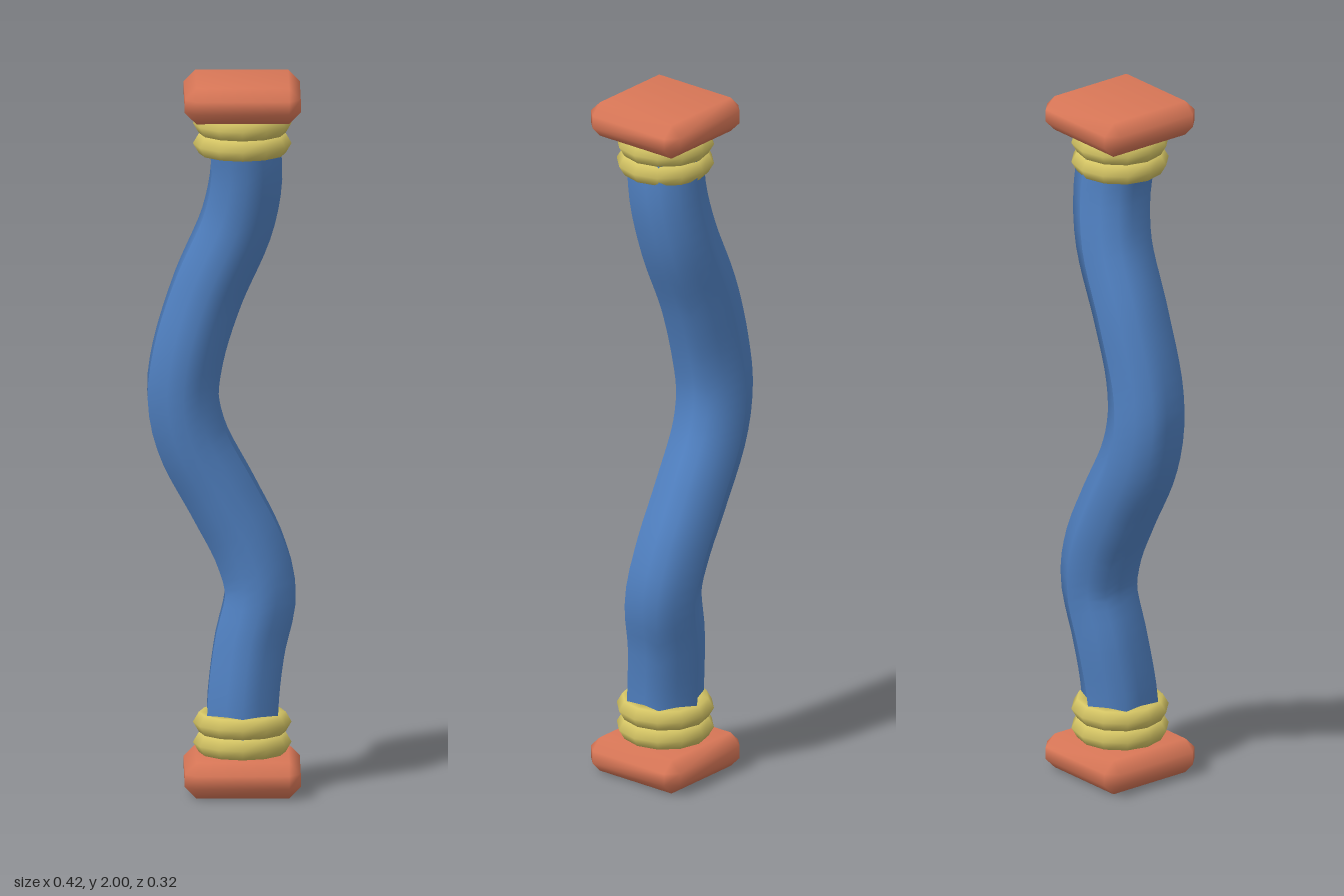
import * as THREE from 'three';
import { mergeVertices } from 'three/addons/utils/BufferGeometryUtils.js';
import { ConvexGeometry } from 'three/addons/geometries/ConvexGeometry.js';

const AXIS_X = 0.05; // the slabs and rings sit a little to the left

function material(name, color) {
  const m = new THREE.MeshStandardMaterial({ color });
  m.name = name;
  return m;
}

// Box with every edge cut back by c, shaded smoothly
function chamferedBox(w, h, d, c) {
  const pts = [];
  for (const sx of [-1, 1]) for (const sy of [-1, 1]) for (const sz of [-1, 1]) {
    for (const full of [0, 1, 2]) {
      const size = [w, h, d].map((s, i) => s / 2 - (i === full ? 0 : c));
      pts.push(new THREE.Vector3(sx * size[0], sy * size[1], sz * size[2]));
    }
  }
  const raw = new ConvexGeometry(pts);
  raw.deleteAttribute('normal');
  const geo = mergeVertices(raw, 1e-4);
  geo.computeVertexNormals();
  return geo;
}

// Six-ridged star section swept along a curve
function flutedSweep(curve, steps, outer, inner) {
  const sides = 12, pos = [], idx = [];
  for (let i = 0; i <= steps; i++) {
    const p = curve.getPointAt(i / steps), t = curve.getTangentAt(i / steps);
    const u = new THREE.Vector3(1, 0, 0).addScaledVector(t, -t.x).normalize();
    const v = new THREE.Vector3().crossVectors(u, t);
    for (let j = 0; j < sides; j++) {
      const a = Math.PI / 2 + (j / sides) * Math.PI * 2;
      const r = j % 2 ? inner : outer;
      const q = p.clone().addScaledVector(u, r * Math.cos(a)).addScaledVector(v, r * Math.sin(a));
      pos.push(q.x, q.y, q.z);
      if (i < steps) {
        const k = (j + 1) % sides, b = i * sides, n = b + sides;
        idx.push(b + j, n + j, b + k, b + k, n + j, n + k);
      }
    }
  }
  const geo = new THREE.BufferGeometry();
  geo.setAttribute('position', new THREE.Float32BufferAttribute(pos, 3));
  geo.setIndex(idx);
  geo.computeVertexNormals();
  return geo;
}

export function createModel() {
  const group = new THREE.Group();
  group.name = 'wavyColumn';
  const terracotta = material('terracotta', 0xd97757);
  const yellow = material('yellow', 0xd4c464);
  const blue = material('blue', 0x4f7fbf);

  const add = (name, geo, mat, x = 0, y = 0) => {
    const mesh = new THREE.Mesh(geo, mat);
    mesh.name = name;
    mesh.position.set(x, y, 0);
    group.add(mesh);
  };

  // Winding shaft
  const path = new THREE.CatmullRomCurve3([
    [0.05, 0.11, 0.005], [0.052, 0.25, -0.003], [0.07, 0.4, -0.02], [0.1, 0.55, -0.034],
    [0.07, 0.67, -0.043], [0, 0.81, -0.047], [-0.088, 0.98, -0.045], [-0.113, 1.1, -0.041],
    [-0.1, 1.22, -0.037], [-0.045, 1.4, -0.04], [0.035, 1.59, -0.035],
    [0.061, 1.72, -0.02], [0.06, 1.8, -0.01], [0.05, 1.89, 0],
  ].map((p) => new THREE.Vector3(...p)));
  // Section axes: u follows x, v follows z
  const shaft = flutedSweep(path, 48, 0.113, 0.09);
  add('shaft', shaft, blue);

  // Slabs at both ends
  const slab = chamferedBox(0.32, 0.1, 0.32, 0.032);
  add('baseSlab', slab, terracotta, AXIS_X, 0.05);
  add('topSlab', slab, terracotta, AXIS_X, 1.95);

  // Pairs of collar rings
  const ring = new THREE.TorusGeometry(0.104, 0.032, 6, 12).rotateX(Math.PI / 2);
  [0.133, 0.19].forEach((y, i) => {
    add('baseRing' + (i + 1), ring, yellow, AXIS_X, y);
    add('topRing' + (i + 1), ring, yellow, AXIS_X, 2.01 - y);
  });

  return group;
}
